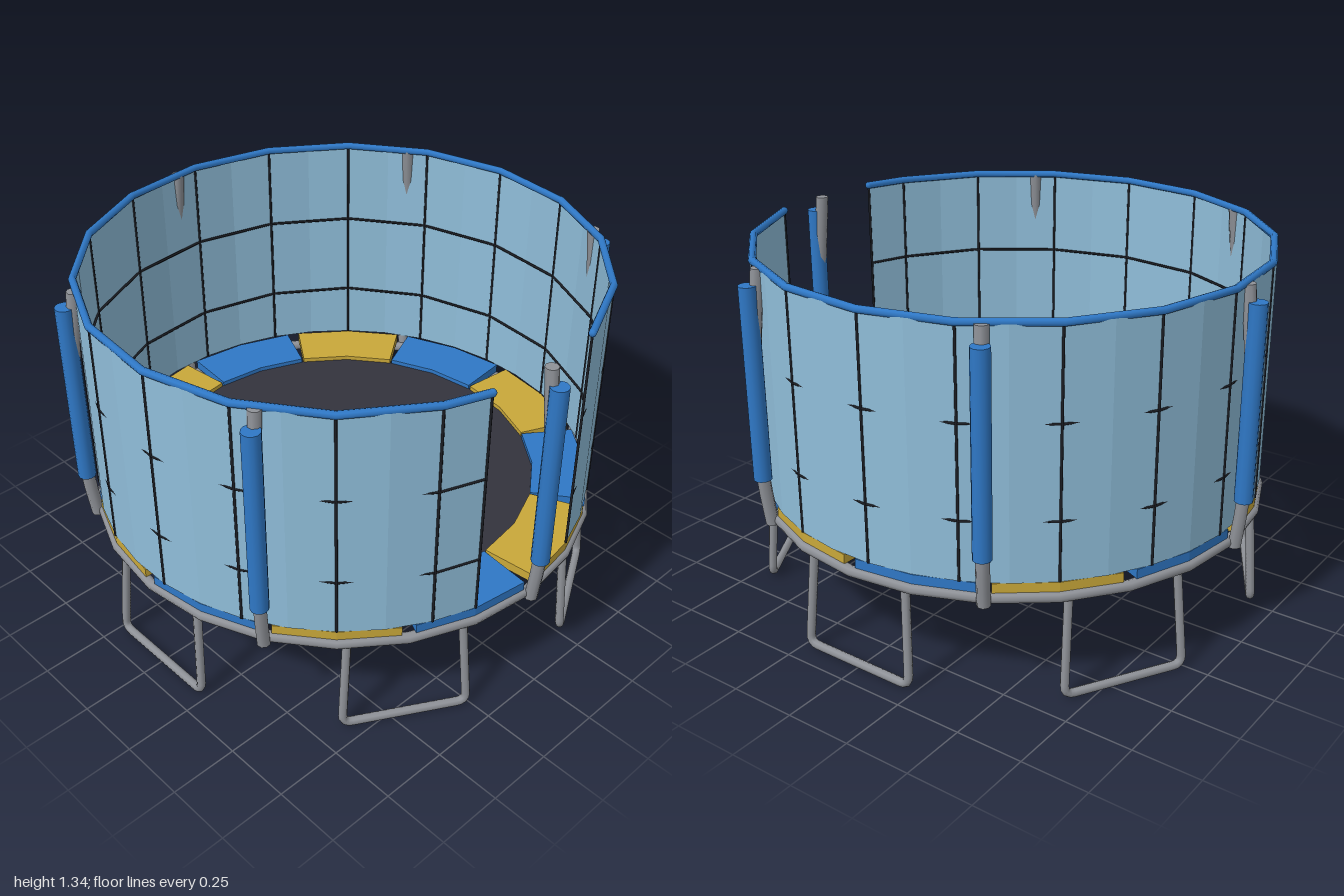
import * as THREE from 'three';

const mat = (name, color) => Object.assign(new THREE.MeshStandardMaterial({ color }), { name });
const deg = THREE.MathUtils.degToRad;
const R = 0.93;                    // net radius
const START = 15, STEP = 20;       // doorway edge and seam spacing in degrees
const polar = (r, a, y) => new THREE.Vector3(r * Math.sin(deg(a)), y, r * Math.cos(deg(a)));

// Faceted normals
function flat(geo) {
  const g = geo.index ? geo.toNonIndexed() : geo;
  g.computeVertexNormals();
  return g;
}

// Horizontal tube following an arc, angles measured from the front
function arcTube(radius, tube, sides, segments, from, span) {
  return new THREE.TorusGeometry(radius, tube, sides, segments, deg(span))
    .rotateX(-Math.PI / 2).rotateY(-Math.PI / 2).rotateY(deg(from));
}

// Padding wedge with a slightly narrower outer edge
function padGeometry(from) {
  const outer = [1.5, 15, 28.5].map(a => polar(0.93, from + a, 0));
  const inner = [29.7, 15, 0.3].map(a => polar(0.727, from + a, 0));
  const shape = new THREE.Shape([...outer, ...inner].map(p => new THREE.Vector2(p.x, -p.z)));
  return new THREE.ExtrudeGeometry(shape, { depth: 0.035, bevelEnabled: false }).rotateX(-Math.PI / 2);
}

// U-shaped leg, built facing +z, splayed outward towards the ground
function legGeometry() {
  const v = (x, y, z) => new THREE.Vector3(x, y, z);
  const path = new THREE.CurvePath();
  const tl = v(-0.203, 0.385, 0.887), bl = v(-0.225, 0.017, 0.912);
  const tr = v(0.203, 0.385, 0.887), br = v(0.225, 0.017, 0.912);
  const up = 0.1, al = bl.clone().lerp(tl, up), ar = br.clone().lerp(tr, up);
  const cl = v(-0.19, 0.017, 0.912), cr = v(0.19, 0.017, 0.912);
  path.add(new THREE.LineCurve3(tl, al));
  path.add(new THREE.QuadraticBezierCurve3(al, bl, cl));
  path.add(new THREE.LineCurve3(cl, cr));
  path.add(new THREE.QuadraticBezierCurve3(cr, br, ar));
  path.add(new THREE.LineCurve3(ar, tr));
  return new THREE.TubeGeometry(path, 80, 0.016, 8);
}

export function createModel() {
  const model = new THREE.Group();
  model.name = 'trampoline';
  const steel = mat('steel', 0x8f9298);
  const blue = mat('blue', 0x2f78c6);
  const yellow = mat('yellow', 0xc9a83a);
  const black = mat('jumping mat black', 0x33333d);
  const seam = mat('seam black', 0x1b1d23);
  const netBlue = mat('net blue', 0x8fbdd9);
  netBlue.side = THREE.DoubleSide;

  const add = (name, geo, material, parent = model) => {
    const mesh = new THREE.Mesh(geo, material);
    mesh.name = name;
    parent.add(mesh);
    return mesh;
  };

  // Round frame and jumping surface
  add('frameRing', arcTube(0.926, 0.02, 8, 24, 0, 360), steel).position.y = 0.39;
  add('jumpingMat', flat(new THREE.CylinderGeometry(0.73, 0.73, 0.02, 24)), black).position.y = 0.418;

  // Alternating edge padding
  for (let i = 0; i < 12; i++) {
    add('edgePad', padGeometry(i * 30), i % 2 ? blue : yellow).position.y = 0.41;
  }

  // Legs, and net poles between them
  const leg = legGeometry();
  const poleCurve = new THREE.CatmullRomCurve3(
    [[0.945, 0.375], [0.965, 0.56], [0.967, 0.93], [0.93, 1.325]].map(([r, y]) => new THREE.Vector3(0, y, r)));
  const pole = new THREE.TubeGeometry(poleCurve, 16, 0.024, 8);
  const cap = new THREE.CylinderGeometry(0.024, 0.024, 0.006, 8);
  const foam = new THREE.CylinderGeometry(0.033, 0.033, 0.715, 12);
  for (let i = 0; i < 6; i++) {
    add('leg', leg, steel).rotation.y = deg(30 + i * 60);
    const post = new THREE.Group();
    post.name = 'netPole';
    post.rotation.y = deg(i * 60);
    model.add(post);
    add('poleTube', pole, steel, post);
    add('poleCap', cap, steel, post).position.set(0, 1.324, 0.93);
    add('poleBase', cap, steel, post).position.set(0, 0.376, 0.945);
    add('poleFoam', foam, blue, post).position.set(0, 0.9125, 0.967);
  }

  // Safety net with a doorway at the front
  const net = new THREE.Group();
  net.name = 'safetyNet';
  model.add(net);
  const low = 0.447, high = 1.325, mid = (low + high) / 2;
  add('netWall', flat(new THREE.CylinderGeometry(R, R, high - low, 33, 1, true, deg(START), deg(330))),
    netBlue, net).position.y = mid;

  // Top rail and two horizontal bands: sixteen full spans and one half span
  const band = (name, y, tube, sides, material) => {
    add(name, arcTube(R, tube, sides, 16, START, 320), material, net).position.y = y;
    add(name, arcTube(R, tube, sides, 1, START + 320, 10), material, net).position.y = y;
  };
  band('topRail', 1.328, 0.014, 8, blue);
  band('netBand', 1.0, 0.005, 6, seam);
  band('netBand', 0.665, 0.005, 6, seam);
  for (const a of [START, 360 - START]) {
    add('railEnd', new THREE.SphereGeometry(0.014, 8, 6), blue, net).position.copy(polar(R, a, 1.328));
  }

  // Vertical seams, with one at each doorway edge
  const seamRod = new THREE.CylinderGeometry(0.005, 0.005, high - low, 6);
  for (let k = 0; k <= 17; k++) {
    const a = Math.min(START + k * STEP, 360 - START);
    add('netSeam', seamRod, seam, net).position.copy(polar(R, a, mid));
  }
  return model;
}
